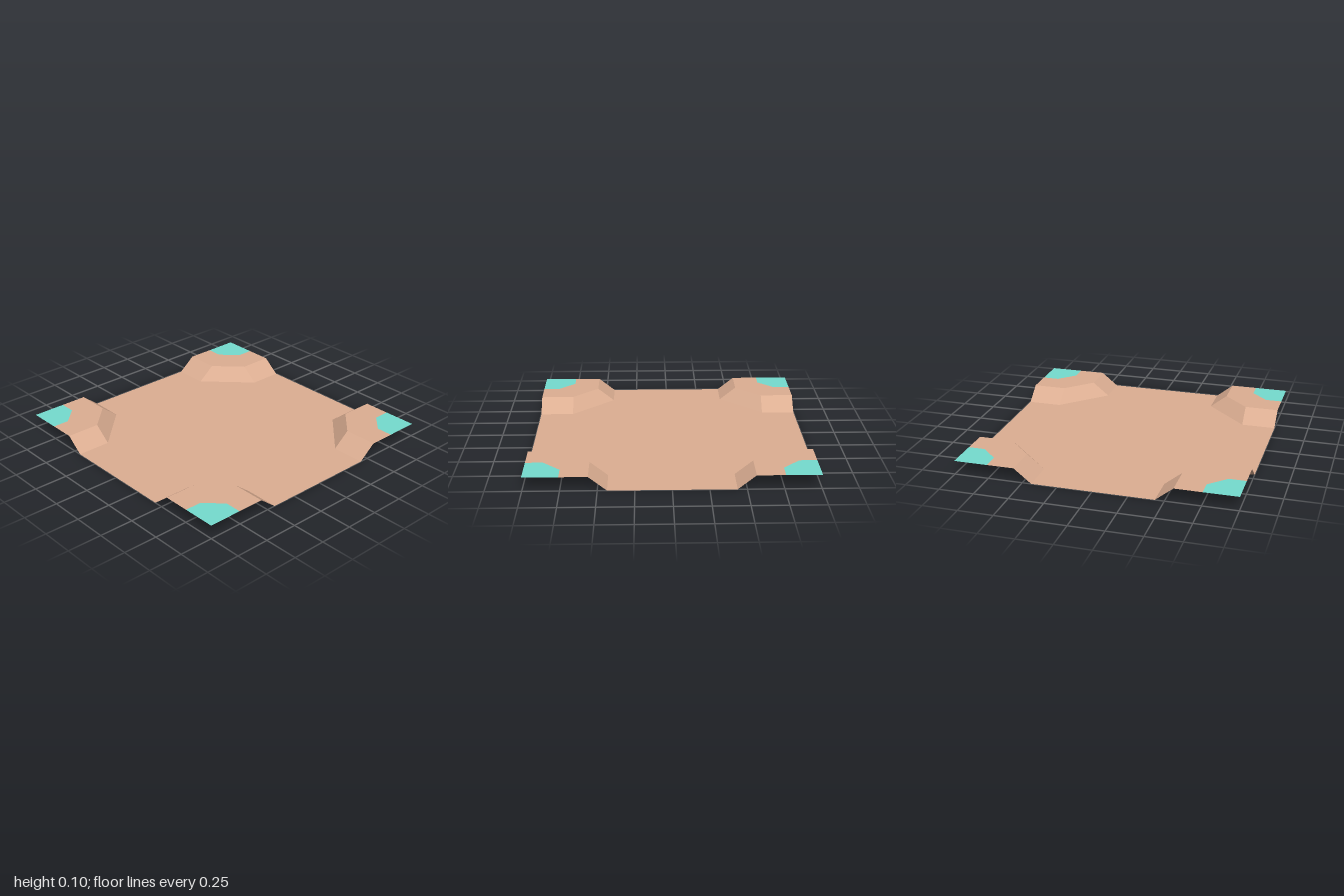
import * as THREE from 'three';

const HEIGHT = 0.1;

// Outlines of one corner as [x, z], running from the +x edge to the +z edge
const slopeFoot = [[1, 0.435], [0.75, 0.435], [0.435, 0.75], [0.435, 1]];
const slopeTop = [[1, 0.56], [0.75, 0.56], [0.56, 0.75], [0.56, 1]];
const patchEdge = [[1, 0.755], [0.877, 0.755], [0.755, 0.877], [0.755, 1]];

// Horizontal polygon facing up, from [x, z] points
function flat(points, y) {
  const shape = new THREE.Shape(points.map(([x, z]) => new THREE.Vector2(x, -z)));
  return new THREE.ShapeGeometry(shape).rotateX(-Math.PI / 2).translate(0, y, 0);
}

// Faceted strip rising from the lower outline to the upper one
function slope(low, high) {
  const positions = [];
  for (let i = 0; i < low.length - 1; i++) {
    const a = [low[i][0], 0, low[i][1]];
    const b = [low[i + 1][0], 0, low[i + 1][1]];
    const c = [high[i + 1][0], HEIGHT, high[i + 1][1]];
    const d = [high[i][0], HEIGHT, high[i][1]];
    positions.push(...a, ...b, ...c, ...a, ...c, ...d);
  }
  const geometry = new THREE.BufferGeometry();
  geometry.setAttribute('position', new THREE.Float32BufferAttribute(positions, 3));
  geometry.computeVertexNormals();
  return geometry;
}

export function createModel() {
  const earth = new THREE.MeshStandardMaterial({ color: 0xdcae92, side: THREE.DoubleSide });
  earth.name = 'earth tan';
  const teal = new THREE.MeshStandardMaterial({ color: 0x74dbce, side: THREE.DoubleSide });
  teal.name = 'teal';

  const model = new THREE.Group();
  model.name = 'groundTile';
  const add = (parent, name, geometry, material) => {
    const mesh = new THREE.Mesh(geometry, material);
    mesh.name = name;
    parent.add(mesh);
  };

  // Low cross-shaped floor: the foot outline turned through four quarters
  const floorPoints = [];
  for (let q = 0; q < 4; q++) {
    const c = Math.round(Math.cos(q * Math.PI / 2));
    const s = Math.round(Math.sin(q * Math.PI / 2));
    for (const [x, z] of slopeFoot) floorPoints.push([x * c - z * s, x * s + z * c]);
  }
  add(model, 'floor', flat(floorPoints, 0), earth);

  // Raised corners with a coloured patch at each tip
  const slopeGeometry = slope(slopeFoot, slopeTop);
  const ledgeGeometry = flat([...slopeTop, ...[...patchEdge].reverse()], HEIGHT);
  const patchGeometry = flat([...patchEdge, [1, 1]], HEIGHT);
  for (let q = 0; q < 4; q++) {
    const corner = new THREE.Group();
    corner.name = 'raisedCorner' + (q + 1);
    add(corner, 'slope', slopeGeometry, earth);
    add(corner, 'ledge', ledgeGeometry, earth);
    add(corner, 'cornerPatch', patchGeometry, teal);
    corner.rotation.y = q * Math.PI / 2;
    model.add(corner);
  }
  return model;
}
